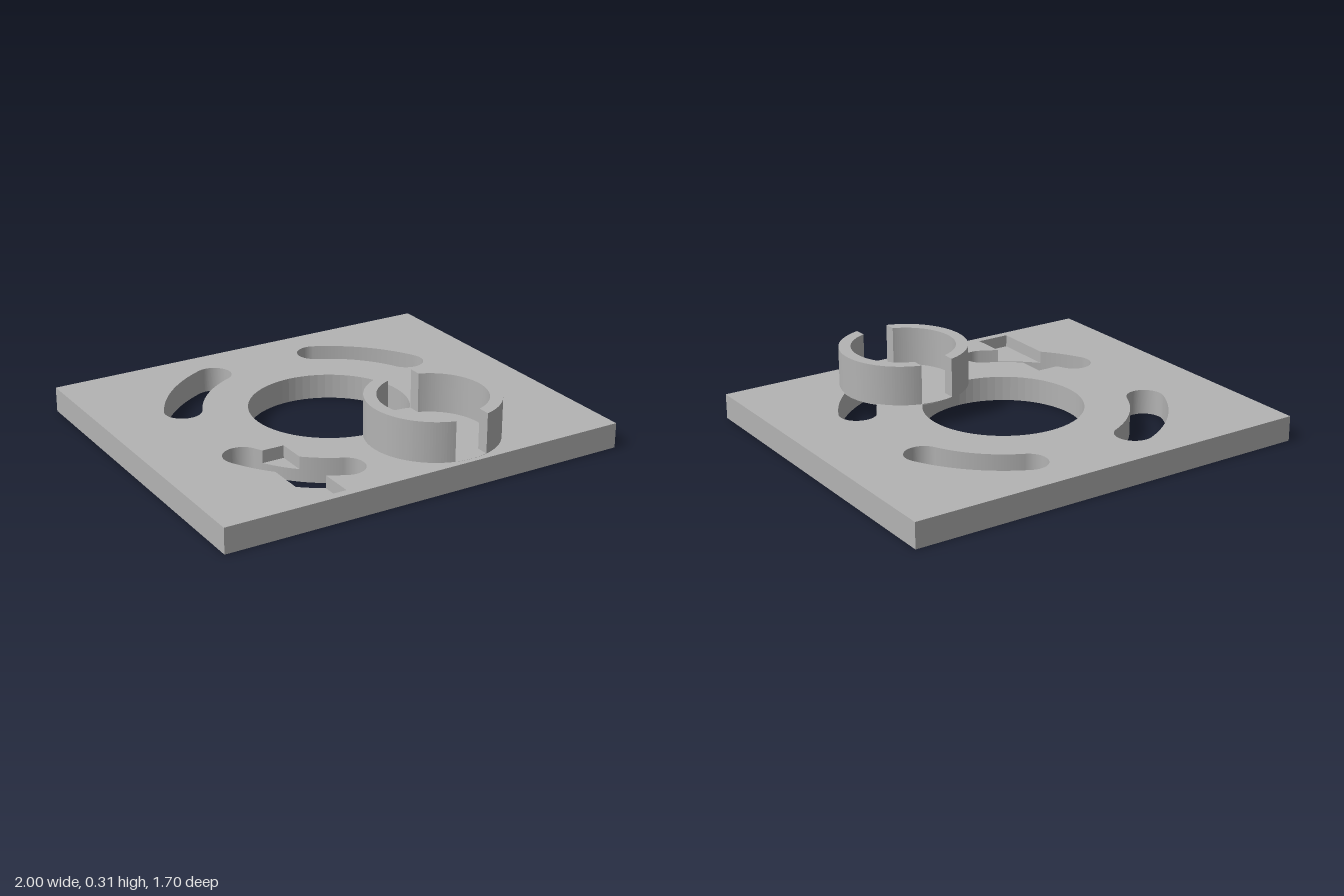
import * as THREE from 'three';

const rad = THREE.MathUtils.degToRad;
const HOLE_R = 0.375;
const SLOT = { mid: 0.673, cap: 0.088, from: 25, to: 65 };
const IN = SLOT.mid - SLOT.cap, OUT = SLOT.mid + SLOT.cap;
const POCKET = { x0: -0.57, x1: -0.405, z0: 0.285, z1: 0.81 };

// Shapes are drawn in plan (x, z) and extruded downwards from the given top.
function slab(shape, top, depth, material, name) {
  const g = new THREE.ExtrudeGeometry(shape, { depth, bevelEnabled: false, curveSegments: 32 });
  g.rotateX(Math.PI / 2).translate(0, top, 0);
  const mesh = new THREE.Mesh(g, material);
  mesh.name = name;
  return mesh;
}

// Curved slot with round ends; with a pocket, its outline merges with the slot.
function slotPath(turn, pocket) {
  const a = rad(turn + SLOT.from), b = rad(turn + SLOT.to);
  const p = new THREE.Path();
  const cap = (t, start) => p.absarc(SLOT.mid * Math.cos(t), SLOT.mid * Math.sin(t), SLOT.cap, start, start + Math.PI, false);
  if (pocket) {
    const { x0, x1, z0, z1 } = pocket;
    p.absarc(0, 0, OUT, a, Math.acos(x1 / OUT), false);
    p.lineTo(x1, z1);
    p.lineTo(x0, z1);
    p.absarc(0, 0, OUT, Math.acos(x0 / OUT), b, false);
    cap(b, b);
    p.absarc(0, 0, IN, b, Math.PI - Math.asin(z0 / IN), true);
    p.lineTo(x1, z0);
    p.absarc(0, 0, IN, Math.acos(x1 / IN), a, true);
  } else {
    p.absarc(0, 0, OUT, a, b, false);
    cap(b, b);
    p.absarc(0, 0, IN, b, a, true);
  }
  cap(a, a + Math.PI);
  return p;
}

function rectangle(x0, x1, z0, z1, Type = THREE.Path) {
  return new Type([[x0, z0], [x1, z0], [x1, z1], [x0, z1]].map(([x, z]) => new THREE.Vector2(x, z)));
}

function plateShape(pocket) {
  const s = rectangle(-1, 1, -0.85, 0.85, THREE.Shape);
  s.holes.push(new THREE.Path().absarc(0, 0, HOLE_R, 0, Math.PI * 2, false));
  for (const turn of [0, 90, 180, 270]) s.holes.push(slotPath(turn, turn === 90 ? pocket : null));
  return s;
}

export function createModel() {
  const model = new THREE.Group();
  model.name = 'slottedPlate';
  const grey = new THREE.MeshStandardMaterial({ color: 0xb3b3b3 });
  grey.name = 'grey';

  // Upper layer carries the rectangular pocket
  model.add(slab(plateShape(POCKET), 0.12, 0.06, grey, 'plateUpper'));

  // Lower layer carries the two narrow underside notches
  const lower = plateShape(null);
  lower.holes.push(rectangle(0.92, 0.98, 0.485, 0.755), rectangle(-0.98, -0.92, 0.485, 0.755));
  model.add(slab(lower, 0.06, 0.06, grey, 'plateLower'));

  // Split cup: thin floor and two mirrored half rings
  const cup = new THREE.Group();
  cup.name = 'splitCup';
  cup.position.set(0.222, 0, 0.518);
  const floor = new THREE.Shape().absarc(0, 0, 0.308, 0, Math.PI * 2, false);
  cup.add(slab(floor, 0.1205, 0.006, grey, 'cupFloor'));
  const ro = 0.308, ri = 0.25, gap = 0.082;
  const to = Math.acos(gap / ro), ti = Math.acos(gap / ri);
  for (const [turn, name] of [[0, 'leftHalfRing'], [Math.PI, 'rightHalfRing']]) {
    const s = new THREE.Shape();
    s.absarc(0, 0, ro, turn - to, turn + to, false);
    s.absarc(0, 0, ri, turn + ti, turn - ti, true);
    cup.add(slab(s, 0.31, 0.192, grey, name));
  }
  model.add(cup);
  return model;
}
